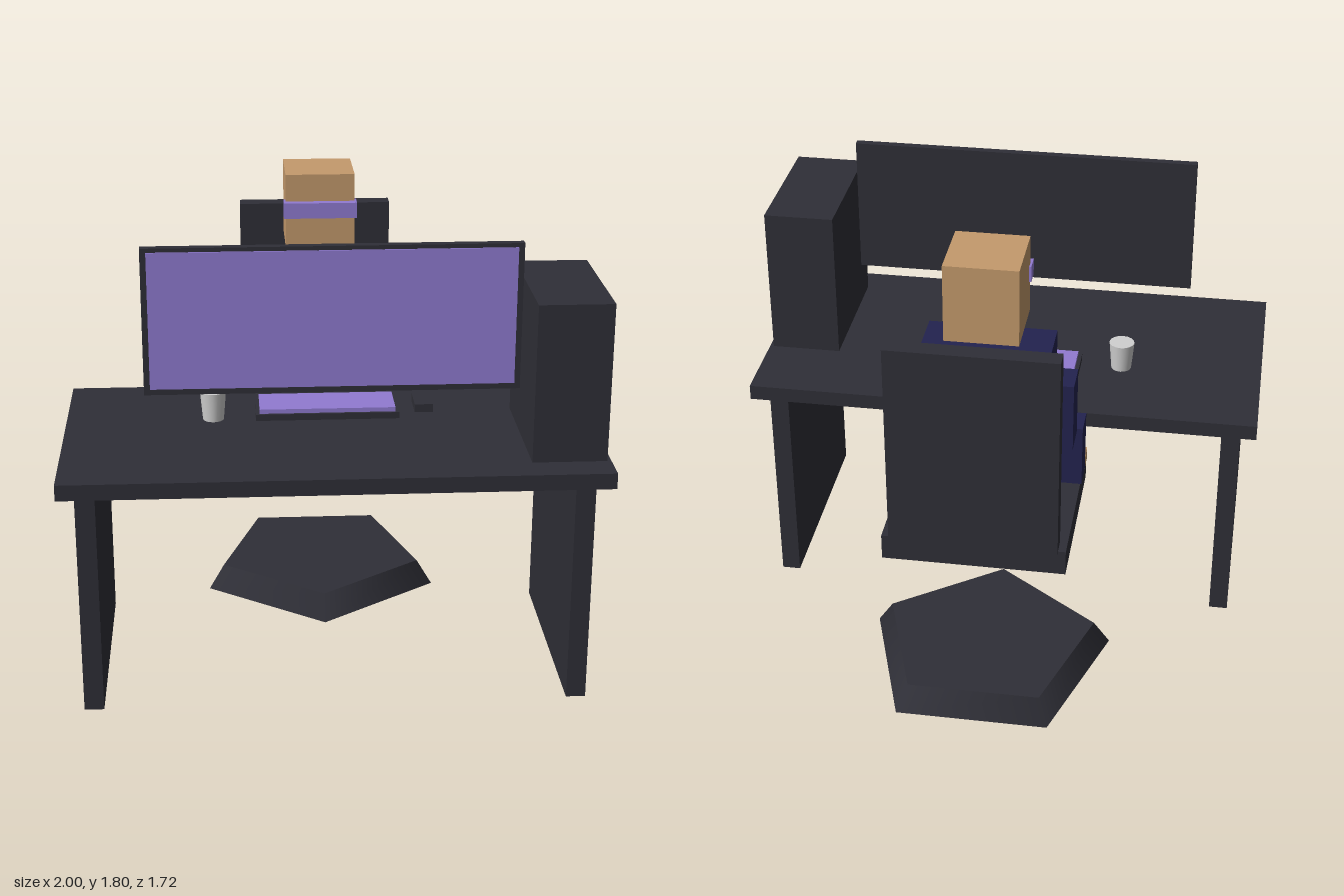
import * as THREE from 'three';

const paint = (name, color) => {
  const m = new THREE.MeshStandardMaterial({ color });
  m.name = name;
  return m;
};

export function createModel() {
  const charcoal = paint('charcoal', 0x2f2f37);
  const purple = paint('purple', 0x917bd2);
  const navy = paint('navy', 0x23234f);
  const skin = paint('skin', 0xc49a6c);
  const white = paint('cupWhite', 0xd0d0d0);

  const model = new THREE.Group();
  model.name = 'deskWorkstation';

  const group = (name) => {
    const g = new THREE.Group();
    g.name = name;
    model.add(g);
    return g;
  };
  const add = (parent, name, geometry, material, x, y, z) => {
    const mesh = new THREE.Mesh(geometry, material);
    mesh.name = name;
    mesh.position.set(x, y, z);
    parent.add(mesh);
  };
  // Box given by its extents on each axis
  const box = (parent, name, material, [x0, x1], [y0, y1], [z0, z1]) =>
    add(parent, name, new THREE.BoxGeometry(x1 - x0, y1 - y0, z1 - z0), material,
      (x0 + x1) / 2, (y0 + y1) / 2, (z0 + z1) / 2);
  // The same box on the left (+x) and right (-x)
  const pair = (parent, name, material, [x0, x1], ys, zs) => {
    box(parent, 'left' + name, material, [x0, x1], ys, zs);
    box(parent, 'right' + name, material, [-x1, -x0], ys, zs);
  };

  // Desk with two panel legs
  const desk = group('desk');
  box(desk, 'deskTop', charcoal, [-1, 1], [0.92, 0.98], [-0.14, 0.86]);
  pair(desk, 'DeskLeg', charcoal, [0.865, 0.938], [0.05, 0.92], [-0.08, 0.8]);

  // Wide monitor with a thin screen plate
  const monitor = group('monitor');
  box(monitor, 'monitorBody', charcoal, [-0.687, 0.685], [1.2, 1.75], [0.525, 0.556]);
  box(monitor, 'screen', purple, [-0.665, 0.663], [1.223, 1.735], [0.556, 0.562]);

  // Computer tower, keyboard, mouse and cup on the desk
  const gear = group('deskGear');
  box(gear, 'computerTower', charcoal, [0.711, 0.985], [0.98, 1.575], [0.18, 0.74]);
  box(gear, 'keyboardBase', charcoal, [-0.278, 0.272], [0.98, 1.005], [0.07, 0.265]);
  box(gear, 'keys', purple, [-0.263, 0.258], [1.005, 1.022], [0.08, 0.255]);
  box(gear, 'mouse', charcoal, [0.335, 0.405], [0.99, 1.022], [0.105, 0.23]);
  add(gear, 'cup', new THREE.CylinderGeometry(0.05, 0.04, 0.115, 16), white, -0.44, 1.037, 0.23);

  // Chair with a five-sided base
  const chair = group('chair');
  box(chair, 'seat', charcoal, [-0.345, 0.341], [0.68, 0.78], [-0.78, -0.13]);
  box(chair, 'backrest', charcoal, [-0.316, 0.312], [0.77, 1.58], [-0.79, -0.718]);
  add(chair, 'chairBase', new THREE.CylinderGeometry(0.435, 0.5, 0.1, 5), charcoal, 0, 0.05, -0.455);

  // Seated figure
  const figure = group('figure');
  box(figure, 'legs', charcoal, [-0.225, 0.221], [0.69, 0.89], [-0.525, -0.05]);
  box(figure, 'torso', navy, [-0.242, 0.238], [0.955, 1.425], [-0.615, -0.29]);
  box(figure, 'head', skin, [-0.139, 0.135], [1.505, 1.805], [-0.565, -0.29]);
  box(figure, 'visor', purple, [-0.147, 0.143], [1.635, 1.697], [-0.322, -0.257]);
  pair(figure, 'UpperArm', navy, [0.235, 0.333], [1.055, 1.325], [-0.518, -0.39]);
  pair(figure, 'Forearm', navy, [0.238, 0.355], [0.815, 1.062], [-0.385, -0.27]);
  pair(figure, 'Hand', skin, [0.25, 0.35], [0.78, 0.83], [-0.28, -0.15]);

  return model;
}
